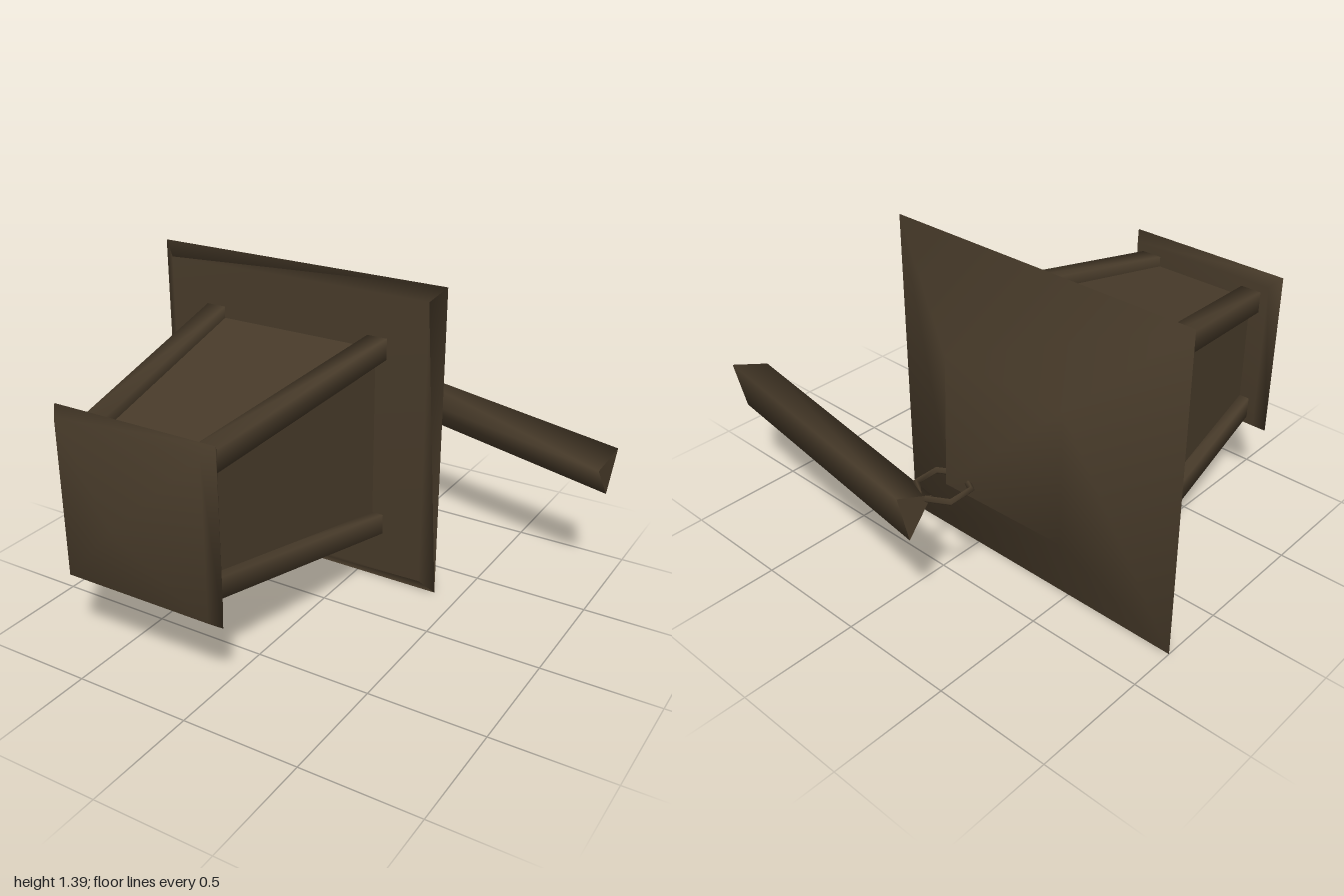
import * as THREE from 'three';
import { mergeVertices } from 'three/addons/utils/BufferGeometryUtils.js';

const CX = -0.305, CY = 0.7;

// Skin equal-length rings of points; shading 'smooth', 'capped' (hard end caps) or 'flat'
function loft(rings, shading = 'smooth') {
  const n = rings[0].length, pos = rings.flat(2), idx = [];
  for (let i = 0; i < rings.length - 1; i++) {
    for (let j = 0; j < n; j++) {
      const a = i * n + j, b = i * n + (j + 1) % n;
      idx.push(a, b, b + n, a, b + n, a + n);
    }
  }
  let first = 0, last = (rings.length - 1) * n;
  if (shading === 'capped') {
    first = pos.length / 3;
    last = first + n;
    pos.push(...rings[0].flat(), ...rings[rings.length - 1].flat());
  }
  for (let j = 1; j < n - 1; j++) {
    idx.push(first, first + j + 1, first + j, last, last + j, last + j + 1);
  }
  let g = new THREE.BufferGeometry();
  g.setAttribute('position', new THREE.Float32BufferAttribute(pos, 3));
  g.setIndex(idx);
  if (shading === 'smooth') g = mergeVertices(g);
  if (shading === 'flat') g = g.toNonIndexed();
  g.computeVertexNormals();
  return g;
}

// Square ring spanning x0..x1, y0..y1 about the lantern axis
const rect = (x0, x1, y0, y1, z) =>
  [[x0, y0], [x1, y0], [x1, y1], [x0, y1]].map(([x, y]) => [CX + x, CY + y, z]);
const square = (h, z) => rect(-h, h, -h, h, z);

export function createModel() {
  const group = new THREE.Group();
  const bronze = new THREE.MeshStandardMaterial({ color: 0x483b2a });
  bronze.name = 'darkBronze';
  const add = (name, geometry) => {
    const m = new THREE.Mesh(geometry, bronze);
    m.name = name;
    group.add(m);
    return m;
  };

  // Flared roof with its tip pointing back
  add('roof', loft([square(0, -0.75), square(0.29, -0.46), square(0.695, -0.29), square(0.635, -0.25)]));

  // Tapered panes
  add('panes', loft([square(0.4, -0.26), square(0.255, 0.78)], 'flat'));

  // Four slanted corner posts
  for (const sx of [-1, 1]) {
    for (const sy of [-1, 1]) {
      const ring = (inner, outer, z) => {
        const span = s => (s > 0 ? [inner, outer] : [-outer, -inner]);
        return rect(...span(sx), ...span(sy), z);
      };
      add('cornerPost', loft([ring(0.36, 0.452, -0.26), ring(0.208, 0.3, 0.78)], 'capped'));
    }
  }

  // Base cap with a shallow point
  add('base', loft([square(0.335, 0.77), square(0.37, 0.82), square(0.335, 0.865), square(0, 0.975)]));

  // Six-sided hanging ring
  const ring = add('hangingRing', new THREE.TorusGeometry(0.102, 0.014, 4, 6));
  ring.rotation.set(Math.PI / 2, 0, Math.PI / 6);
  ring.position.set(CX, CY, -0.765);

  // Three-sided support arm
  add('supportArm', loft([
    [[-0.295, 0.75, -0.975], [-0.32, 0.705, -0.835], [-0.315, 0.565, -0.945]],
    [[1.0, 0.675, -0.735], [0.975, 0.625, -0.58], [0.98, 0.47, -0.7]],
  ], 'capped'));

  return group;
}
